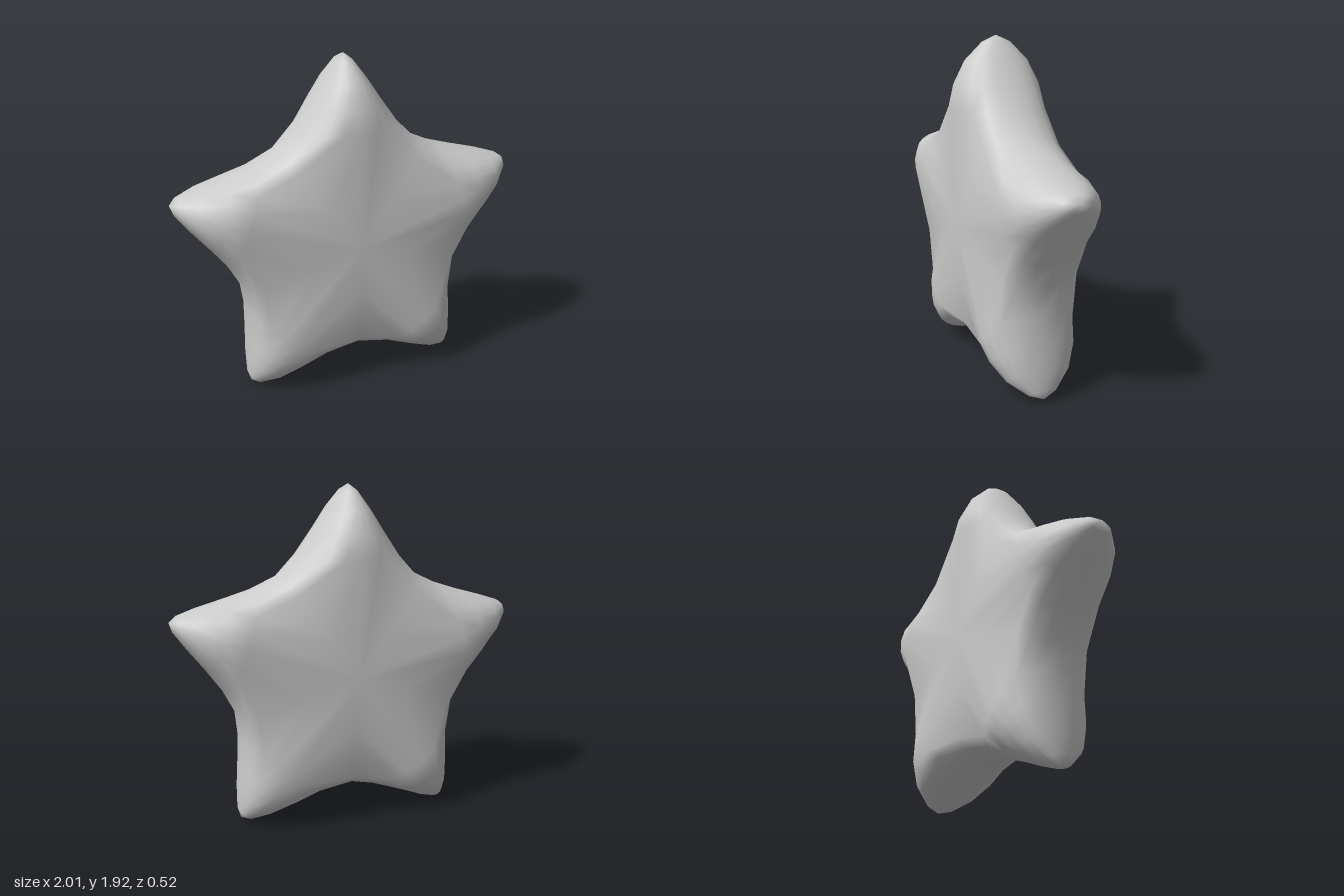
import * as THREE from 'three';
import { mergeVertices } from 'three/addons/utils/BufferGeometryUtils.js';

const QUARTER = 5;           // steps per quarter of an arm's cross-section
const RING = QUARTER * 4;
const HALF_ANGLE = Math.PI / 5;

// Arm cross-sections: distance from the centre, half width, half depth
const SECTIONS = [
  [0.66, 0.295, 0.26],
  [0.79, 0.202, 0.24],
  [0.92, 0.117, 0.18],
  [1.02, 0.046, 0.08],
  [1.055, 0, 0],
];

// Seam between two arms, from the notch edge up to the star's centre: radius, depth
const SEAM = [[0.68, 0], [0.67, 0.08], [0.64, 0.16], [0.59, 0.22], [0.3, 0.24], [0, 0.26]];

// Rings of one arm pointing up, ordered from the seam to the tip
function armRings() {
  const rings = [[], ...SECTIONS.map(() => [])];
  for (let i = 0; i < RING; i++) {
    const half = i % (2 * QUARTER);
    const k = half <= QUARTER ? half : 2 * QUARTER - half;
    const sx = i > QUARTER && i < 3 * QUARTER ? -1 : 1;
    const sz = i > 2 * QUARTER ? -1 : 1;
    const [r, depth] = SEAM[k];
    rings[0].push(new THREE.Vector3(sx * r * Math.sin(HALF_ANGLE), r * Math.cos(HALF_ANGLE), sz * depth));
    const a = (k / QUARTER) * Math.PI / 2;
    const c = k === QUARTER ? 0 : Math.cos(a) ** 0.92;
    const s = Math.sin(a) ** 0.92;
    SECTIONS.forEach(([d, w, h], j) => {
      rings[j + 1].push(new THREE.Vector3(sx * w * c, d, sz * h * s));
    });
  }
  return rings;
}

function starGeometry() {
  const rings = armRings();
  const positions = [];
  const axis = new THREE.Vector3(0, 0, 1);
  for (let arm = 0; arm < 5; arm++) {
    const add = (...points) => points.forEach((p) => {
      positions.push(...p.clone().applyAxisAngle(axis, arm * 2 * HALF_ANGLE).toArray());
    });
    for (let j = 0; j < rings.length - 1; j++) {
      for (let i = 0; i < RING; i++) {
        const n = (i + 1) % RING;
        const a = rings[j][i], b = rings[j][n];
        const c = rings[j + 1][n], d = rings[j + 1][i];
        add(a, d, b);
        if (j < rings.length - 2) add(b, d, c); // the tip closes to a point
      }
    }
  }
  const geometry = new THREE.BufferGeometry();
  geometry.setAttribute('position', new THREE.Float32BufferAttribute(positions, 3));
  const merged = mergeVertices(geometry, 1e-4);
  merged.computeVertexNormals();
  return merged;
}

export function createModel() {
  const group = new THREE.Group();
  group.name = 'puffyStar';
  const star = new THREE.Mesh(starGeometry(), new THREE.MeshStandardMaterial({ color: 0xcccccc }));
  star.name = 'starBody';
  // A very slight tilt, standing on its two lower arms
  star.rotation.z = THREE.MathUtils.degToRad(1.1);
  star.position.set(0.005, 0.867, 0);
  group.add(star);
  return group;
}
